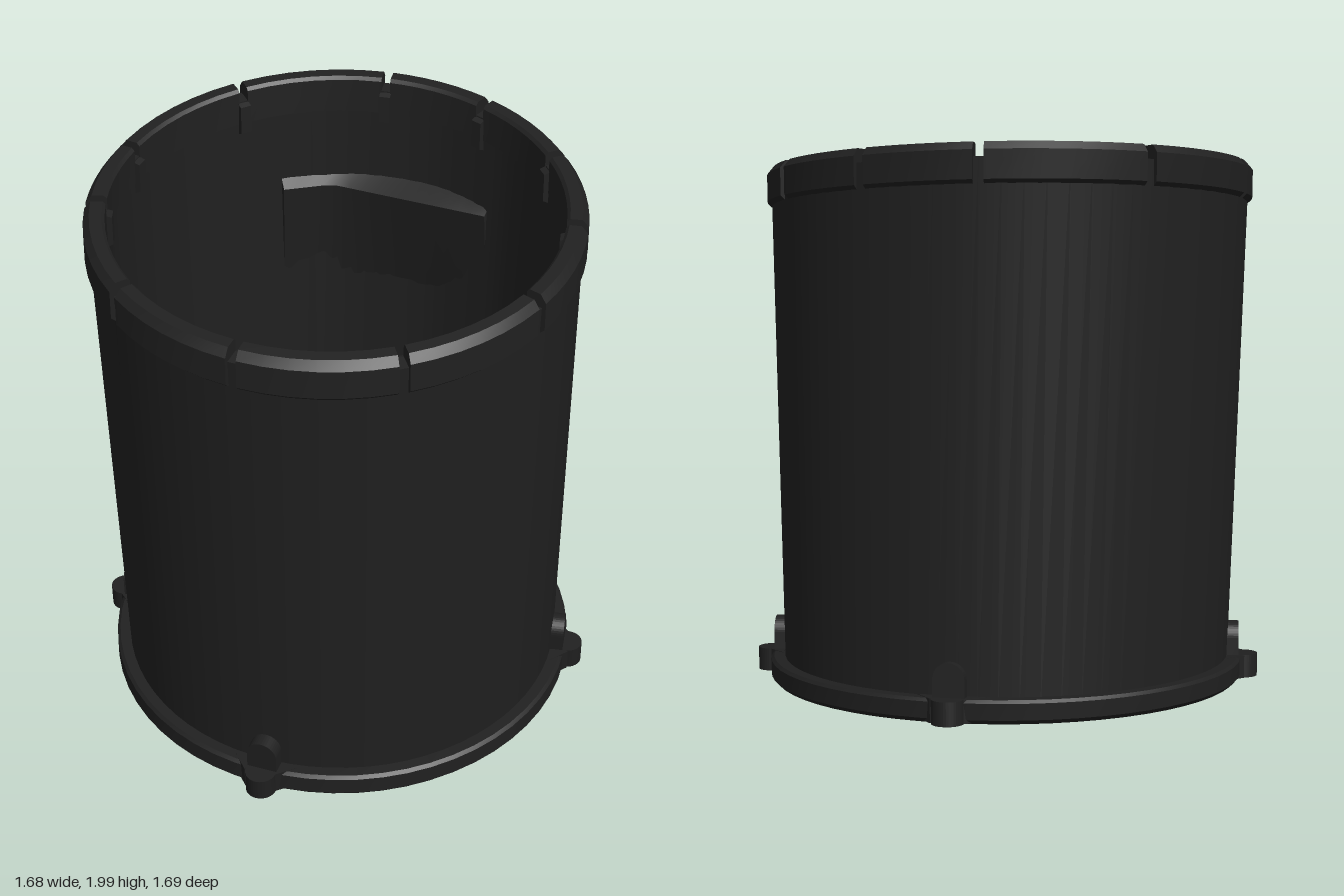
import * as THREE from 'three';
import { toCreasedNormals } from 'three/addons/utils/BufferGeometryUtils.js';

const rad = THREE.MathUtils.degToRad;
const lerp = THREE.MathUtils.lerp;

// Leaning axis and the two tilted rim planes
const centre = t => [lerp(0.021, -0.024, t), lerp(-0.02, 0.036, t)];
const height = (x, z, t) => lerp(0.095 + 0.05 * x - 0.1 * z, 1.857 + 0.08 * x - 0.17 * z, t);

// A point at angle a, radius r, fraction t up the tube, shifted d vertically
function point(a, r, t, d) {
  const [cx, cz] = centre(t);
  const x = cx + r * Math.cos(a), z = cz + r * Math.sin(a);
  return [x, height(x, z, t) + d, z];
}

// Sweeps a counter-clockwise profile of [radius, t, d] around the axis
function sweep(profile, from, to, steps, crease = 35) {
  const pos = [], n = profile.length, rings = [];
  for (let i = 0; i <= steps; i++) {
    const a = rad(lerp(from, to, i / steps));
    rings.push(profile.map(([r, t, d]) => point(a, typeof r === 'function' ? r(a) : r, t, d)));
  }
  const tri = (a, b, c) => pos.push(...a, ...b, ...c);
  for (let i = 0; i < steps; i++) {
    for (let j = 0; j < n; j++) {
      const k = (j + 1) % n, p = rings[i], q = rings[i + 1];
      tri(p[j], p[k], q[j]);
      tri(p[k], q[k], q[j]);
    }
  }
  if (to - from < 360) {
    const s = rings[0], e = rings[steps];
    for (let j = 1; j < n - 1; j++) {
      tri(s[0], s[j + 1], s[j]);
      tri(e[0], e[j], e[j + 1]);
    }
  }
  const geo = new THREE.BufferGeometry();
  geo.setAttribute('position', new THREE.Float32BufferAttribute(pos, 3));
  return toCreasedNormals(geo, rad(crease));
}

// Radius by angle of a polygon of [x, z] corners lying at fraction t
function polygonRadius(corners, t) {
  const [cx, cz] = centre(t);
  return a => {
    const dx = Math.cos(a), dz = Math.sin(a);
    let best = 0.75;
    corners.forEach(([px, pz], i) => {
      const [qx, qz] = corners[(i + 1) % corners.length];
      const ex = qx - px, ez = qz - pz, ox = px - cx, oz = pz - cz;
      const den = dx * ez - dz * ex;
      const r = (ox * ez - oz * ex) / den, s = (ox * dz - oz * dx) / den;
      if (r > 0 && s >= -1e-6 && s <= 1 + 1e-6) best = Math.min(best, r);
    });
    return best;
  };
}

// Uneven lower edge of the lining, and the flat fold high on its back
const lowerEdge = polygonRadius([[0.705, 0], [0.635, 0.45], [0, 0.74], [-0.44, 0.6], [-0.55, 0.5],
  [-0.66, -0.36], [-0.45, -0.6], [-0.2, -0.72], [0.05, -0.755], [0.3, -0.69], [0.55, -0.5], [0.68, -0.25]], 0);
const foldEdge = polygonRadius([[-0.02, -0.7], [0.23, -0.65], [0.66, -0.25], [2, 2], [-2, 2]], 0.78);

export function createModel() {
  const model = new THREE.Group();
  model.name = 'openTube';
  const black = new THREE.MeshStandardMaterial({ color: 0x202020 });
  black.name = 'matte black';
  const add = (name, geo, parent = model) => {
    const mesh = new THREE.Mesh(geo, black);
    mesh.name = name;
    parent.add(mesh);
    return mesh;
  };

  // Hollow wall, ruled from a round mouth to the faceted lower edge
  add('wall', sweep([
    [lowerEdge, 0, 0.03], [0.768, 0, 0.03], [0.802, 1, -0.045], [0.748, 1, -0.045],
  ], 0, 360, 72));
  add('liningFold', sweep([[foldEdge, 0.78, 0], [0.755, 0.5, 0], [0.755, 0.8, 0]], -84, -23, 16));

  // Bottom flange
  add('bottomFlange', sweep([
    [0.757, 0, 0], [0.803, 0, 0], [0.817, 0, 0.015], [0.817, 0, 0.07], [0.807, 0, 0.08], [0.757, 0, 0.08],
  ], 0, 360, 60));

  // Top collar, split into segments by narrow slots, with a rib inside each slot
  const slots = [2, 31, 61, 97, 134, 169, 204, 228, 266, 305, 333];
  slots.forEach((s, i) => {
    const next = slots[i + 1] ?? slots[0] + 360;
    add('collarSegment', sweep([
      [0.745, 1, -0.125], [0.8, 1, -0.13], [0.816, 1, -0.115], [0.816, 1, -0.025],
      [0.795, 1, 0], [0.755, 1, 0], [0.745, 1, -0.01],
    ], s + 1.2, next - 1.2, 6));
    add('slotRib', sweep([
      [0.727, 1, -0.15], [0.765, 1, -0.17], [0.765, 1, -0.045], [0.727, 1, -0.055],
    ], s - 1.5, s + 1.5, 1));
  });

  // Mounting lugs: a tapered foot on the flange and an arched back against the wall
  const arch = new THREE.Shape();
  arch.moveTo(-0.052, 0.01);
  arch.lineTo(0.052, 0.01);
  arch.lineTo(0.052, 0.14);
  arch.absarc(0, 0.14, 0.052, 0, Math.PI, false);
  arch.closePath();
  const archGeo = new THREE.ExtrudeGeometry(arch, {
    depth: 0.05, bevelEnabled: false, curveSegments: 10,
  });
  const foot = new THREE.Shape();
  foot.moveTo(-0.11, -0.01);
  foot.lineTo(-0.055, -0.07);
  foot.absarc(0, -0.062, 0.052, Math.PI, Math.PI * 2, false);
  foot.lineTo(0.11, -0.01);
  foot.closePath();
  const footGeo = new THREE.ExtrudeGeometry(foot, {
    depth: 0.078, bevelEnabled: false, curveSegments: 10,
  }).rotateX(-Math.PI / 2);
  const up = new THREE.Vector3(0, 1, 0);
  const flangeNormal = new THREE.Vector3(-0.05, 1, 0.1).normalize();
  for (const deg of [-49, 32, 131, 214]) {
    const a = rad(deg), lug = new THREE.Group();
    lug.name = 'mountingLug';
    lug.position.set(...point(a, 0.76, 0, 0));
    lug.rotation.y = Math.atan2(Math.cos(a), Math.sin(a));
    lug.quaternion.premultiply(new THREE.Quaternion().setFromUnitVectors(up, flangeNormal));
    add('lugArch', archGeo, lug);
    add('lugFoot', footGeo, lug).position.y = 0.003;
    model.add(lug);
  }
  return model;
}
